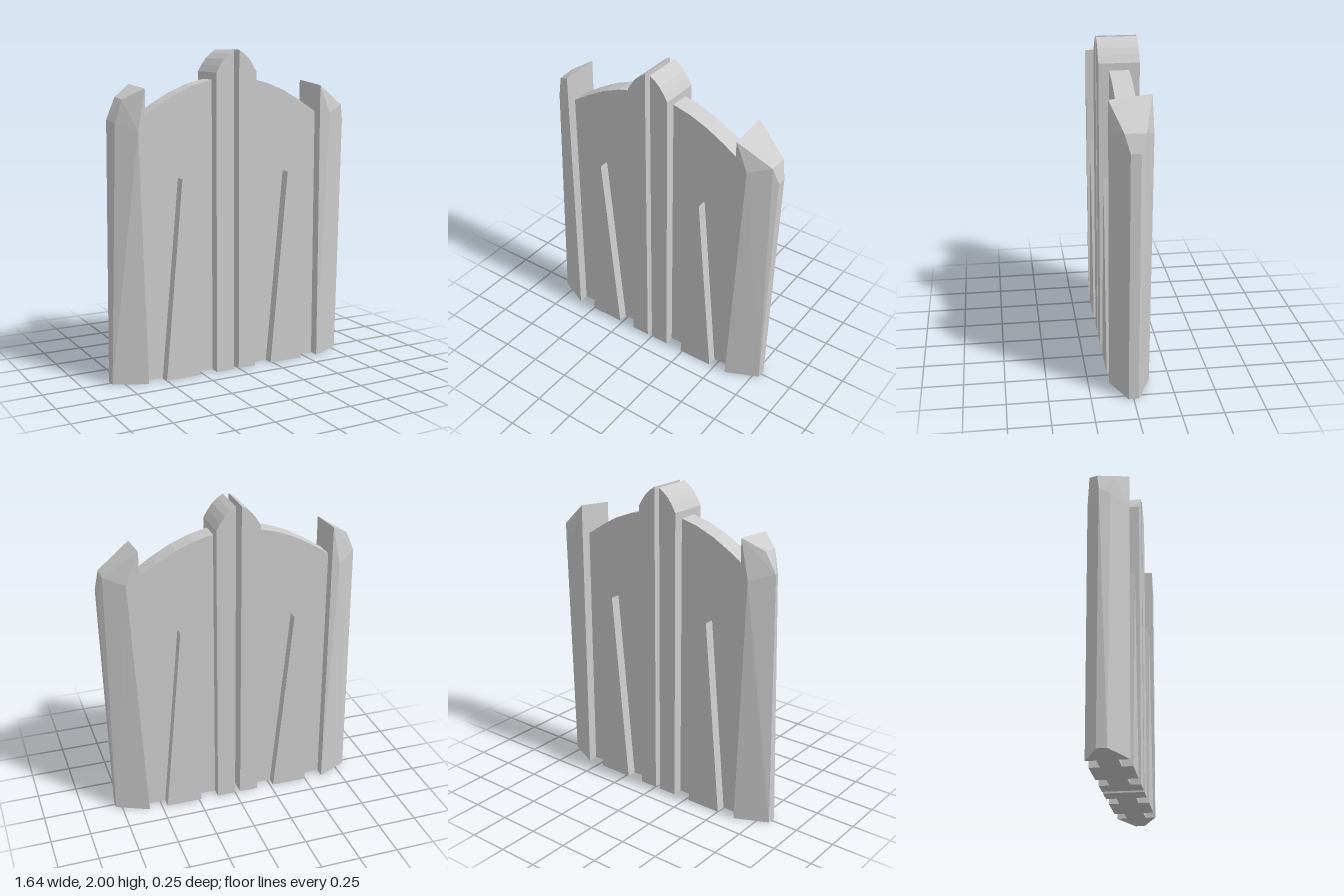
import * as THREE from 'three';
import { ConvexGeometry } from 'three/addons/geometries/ConvexGeometry.js';

const CENTER = -0.0175; // middle of the gap between the two leaves
const DEPTH = 0.123; // half thickness of the raised parts

export function createModel() {
  const model = new THREE.Group();
  model.name = 'doubleGate';
  const material = new THREE.MeshStandardMaterial({ color: 0xcccccc, flatShading: true });

  const add = (parent, name, geometry) => {
    const mesh = new THREE.Mesh(geometry, material);
    mesh.name = name;
    parent.add(mesh);
  };

  // Outline in (distance from the gap, height), extruded evenly about z = 0
  const slab = (side, halfDepth, outline) => {
    const shape = new THREE.Shape(outline.map(([d, y]) => new THREE.Vector2(CENTER + side * d, y)));
    return new THREE.ExtrudeGeometry(shape, { depth: 2 * halfDepth, bevelEnabled: false })
      .translate(0, 0, -halfDepth);
  };

  // Faceted outer posts: the two sides are chipped differently at the top
  const hull = (points) => new ConvexGeometry(points.map((p) => new THREE.Vector3(...p)));
  const posts = {
    left: [
      [0.585, 0, DEPTH], [0.585, 0, -DEPTH], [0.788, 0, 0.03], [0.788, 0, -0.03],
      [0.585, 1.775, DEPTH], [0.585, 1.8, -DEPTH],
      [0.66, 1.6, DEPTH], [0.665, 1.6, -DEPTH],
      [0.788, 1.64, 0.06], [0.788, 1.64, -0.06],
      [0.818, 1.535, 0.03], [0.818, 1.535, -0.03],
    ],
    right: [
      [-0.62, 0, DEPTH], [-0.62, 0, -DEPTH], [-0.82, 0, 0.03], [-0.82, 0, -0.03],
      [-0.62, 1.785, DEPTH], [-0.62, 1.8, -DEPTH],
      [-0.665, 1.54, DEPTH], [-0.67, 1.56, -DEPTH],
      [-0.735, 1.72, 0.05], [-0.737, 1.73, -0.055],
      [-0.772, 1.58, 0.03], [-0.8, 1.6, -0.035],
    ],
  };

  for (const [sideName, side] of [['left', 1], ['right', -1]]) {
    const leaf = new THREE.Group();
    leaf.name = sideName + 'Leaf';
    model.add(leaf);

    // Thin panel with an arched top
    add(leaf, 'panel', slab(side, 0.06, [
      [0.1375, 0], [0.6025, 0], [0.6025, 1.607], [0.485, 1.683],
      [0.3675, 1.748], [0.2525, 1.794], [0.1375, 1.823],
    ]));

    // Thick meeting stile with a rounded top
    add(leaf, 'meetingStile', slab(side, DEPTH, [
      [0.0175, 0], [0.1375, 0], [0.1375, 1.867], [0.112, 1.91],
      [0.085, 1.947], [0.052, 1.977], [0.0175, 2],
    ]));

    // Tall triangular rib standing out on both faces
    add(leaf, 'spikeRib', slab(side, DEPTH, [[0.2525, 0], [0.4825, 0], [0.3675, 1.24]]));

    add(leaf, 'outerPost', hull(posts[sideName]));
  }
  return model;
}
